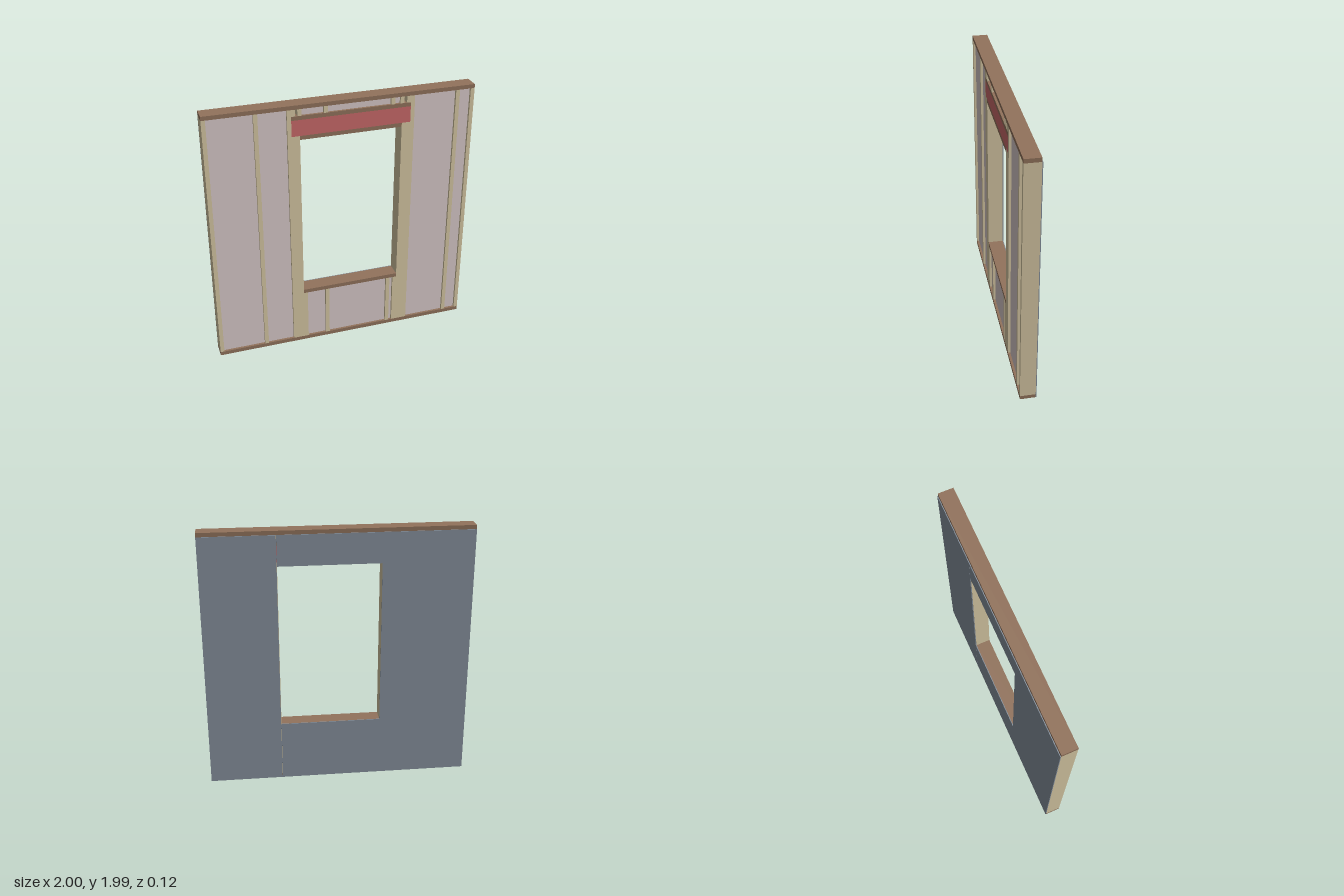
import * as THREE from 'three';

const material = (color) => new THREE.MeshStandardMaterial({ color });

export function createModel() {
  const model = new THREE.Group();
  const plateMat = material(0x92735c);
  const studMat = material(0xd6c7a3);
  const headerMat = material(0xc96a6a);
  const insulationMat = material(0xd8caca);
  const sheathingMat = material(0x87929e);

  const T = 0.03;                       // lumber thickness
  const FRONT = 0.061, BACK = -0.055;   // framing depth
  const TOP = 1.99, STUD_TOP = TOP - T;
  const LEFT = -0.32, RIGHT = 0.44;     // window opening
  const SILL = 0.47, HEAD = 1.73;

  // Box between two corners in x and y, spanning the framing depth by default
  const block = (name, mat, x0, x1, y0, y1, z1 = FRONT, z0 = BACK) => {
    const mesh = new THREE.Mesh(new THREE.BoxGeometry(x1 - x0, y1 - y0, z1 - z0), mat);
    mesh.position.set((x0 + x1) / 2, (y0 + y1) / 2, (z0 + z1) / 2);
    mesh.name = name;
    model.add(mesh);
  };
  const studs = (name, xs, y0, y1) => xs.forEach((x) => block(name, studMat, x, x + T, y0, y1));

  // Plates
  block('bottomPlate', plateMat, -1, 1, 0, T);
  block('topPlate', plateMat, -1, 1, STUD_TOP, TOP);
  block('sillPlate', plateMat, LEFT, RIGHT, SILL - T, SILL);
  block('headerBottomPlate', plateMat, LEFT, RIGHT, HEAD, HEAD + T);
  block('headerTopPlate', plateMat, -0.38, 0.505, 1.88, 1.91);
  block('header', headerMat, -0.38, 0.505, HEAD + T, 1.88);

  // Full-height studs, including the king studs beside the opening
  studs('stud', [-1, -0.645, 0.855, 0.97], T, STUD_TOP);
  studs('kingStud', [-0.41, 0.505], T, STUD_TOP);

  // Doubled trimmers carrying the header
  block('leftTrimmers', studMat, RIGHT, 0.505, T, HEAD + T);
  block('rightTrimmers', studMat, -0.38, LEFT, T, HEAD + T);

  // Short studs below the sill and above the header
  studs('lowerCripple', [LEFT, -0.145, 0.355, RIGHT - T], T, SILL - T);
  studs('upperCripple', [-0.38, -0.335, -0.145, 0.355, 0.425, 0.475], 1.91, STUD_TOP);

  // Insulation, slightly recessed between the studs
  const fill = (gaps, y0, y1) =>
    gaps.forEach(([a, b]) => block('insulation', insulationMat, a, b, y0, y1, 0.043));
  fill([[-0.97, -0.645], [-0.615, -0.41], [0.535, 0.855], [0.885, 0.97]], T, STUD_TOP);
  fill([[-0.29, -0.145], [-0.115, 0.355], [0.385, 0.41]], T, SILL - T);
  fill([[-0.305, -0.145], [-0.115, 0.355], [0.385, 0.425]], 1.91, STUD_TOP);

  // Back sheathing: one panel notched around the opening, one plain panel
  const sheet = (name, points) => {
    const shape = new THREE.Shape(points.map(([x, y]) => new THREE.Vector2(x, y)));
    const geometry = new THREE.ExtrudeGeometry(shape, { depth: 0.006, bevelEnabled: false });
    const mesh = new THREE.Mesh(geometry, sheathingMat);
    mesh.position.z = BACK - 0.006;
    mesh.name = name;
    model.add(mesh);
  };
  sheet('notchedSheathing', [
    [-1, 0], [RIGHT, 0], [RIGHT, SILL], [LEFT, SILL],
    [LEFT, HEAD], [RIGHT, HEAD], [RIGHT, STUD_TOP], [-1, STUD_TOP],
  ]);
  sheet('plainSheathing', [
    [RIGHT + 0.003, 0], [1, 0], [1, STUD_TOP], [RIGHT + 0.003, STUD_TOP],
  ]);

  return model;
}
